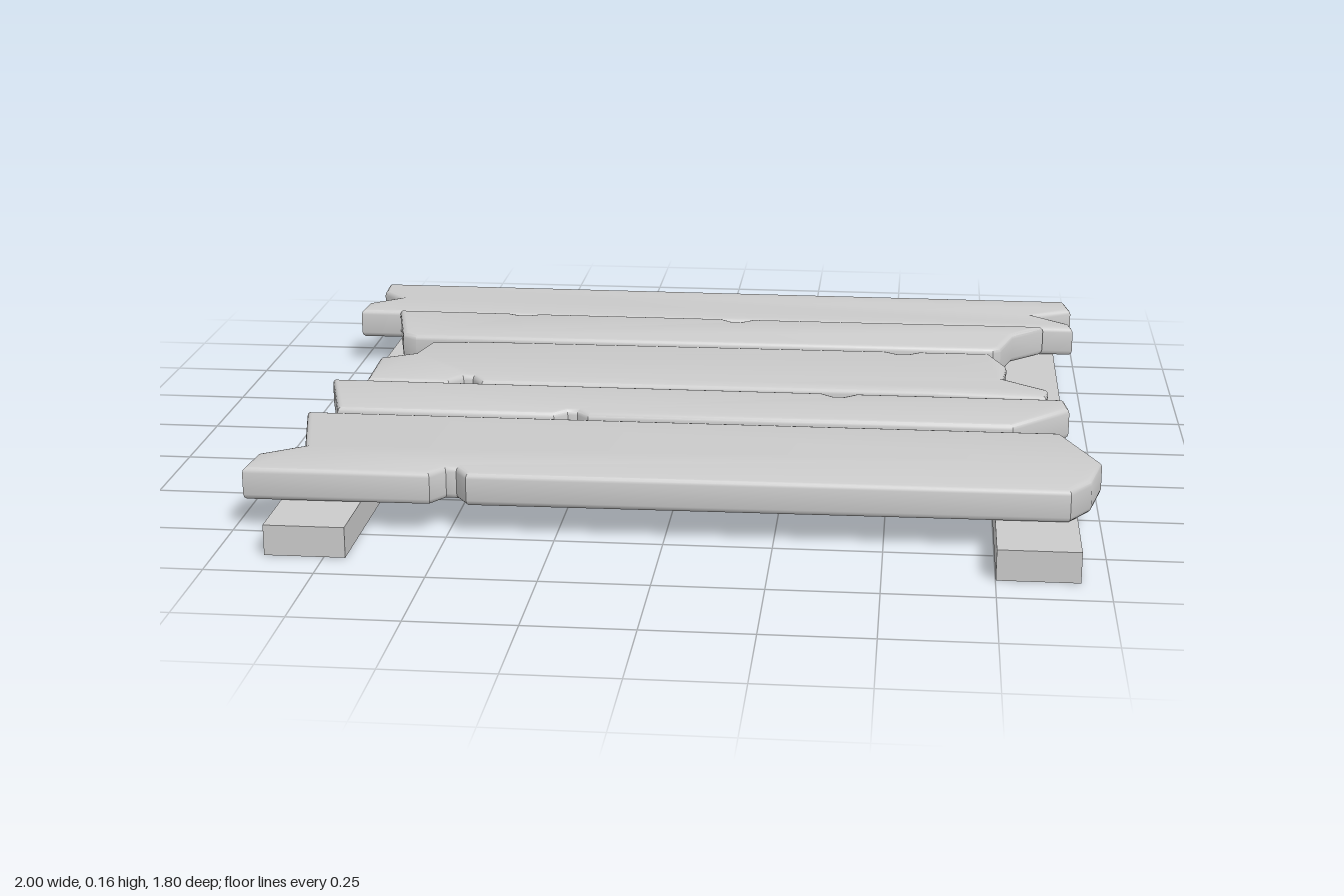
import * as THREE from 'three';
import { toCreasedNormals } from 'three/addons/utils/BufferGeometryUtils.js';

const BEVEL = 0.014;
const THICKNESS = 0.08;
const material = new THREE.MeshStandardMaterial({ color: 0xcccccc });

// Points of a straight edge from a to b, chipped inward at each [x, depth]
function chippedEdge(a, b, chips, inward) {
  const edgeZ = (x) => a[1] + ((b[1] - a[1]) * (x - a[0])) / (b[0] - a[0]);
  const points = [];
  for (const [x, depth] of chips) {
    for (const [dx, cut] of [[-0.042, 0], [-0.012, 1], [0.012, 1], [0.042, 0]]) {
      points.push([x + dx, edgeZ(x + dx) + inward * cut * depth]);
    }
  }
  return points;
}

// Plank with broken ends, each listed as [x, z] from back to front,
// extruded upward with softly rounded rims
function makePlank(name, bottom, leftEnd, rightEnd, backChips, frontChips) {
  const outline = [
    ...leftEnd,
    ...chippedEdge(leftEnd.at(-1), rightEnd.at(-1), frontChips, -1),
    ...[...rightEnd].reverse(),
    ...chippedEdge(leftEnd[0], rightEnd[0], backChips, 1).reverse(),
  ];
  const shape = new THREE.Shape(outline.map(([x, z]) => new THREE.Vector2(x, -z)));
  const geometry = new THREE.ExtrudeGeometry(shape, {
    depth: THICKNESS - 2 * BEVEL,
    bevelThickness: BEVEL,
    bevelSize: BEVEL,
    bevelOffset: -BEVEL,
    bevelSegments: 3,
  });
  geometry.rotateX(-Math.PI / 2);
  geometry.translate(0, bottom + BEVEL, 0);
  const mesh = new THREE.Mesh(toCreasedNormals(geometry, 0.6), material);
  mesh.name = name;
  return mesh;
}

// Square-cut support beam running front to back
function makeRail(name, x) {
  const mesh = new THREE.Mesh(new THREE.BoxGeometry(0.186, 0.072, 1.78), material);
  mesh.position.set(x, 0.036, 0.01);
  mesh.name = name;
  return mesh;
}

export function createModel() {
  const group = new THREE.Group();
  group.name = 'plankPlatform';

  group.add(makeRail('rightRail', -0.794), makeRail('leftRail', 0.844));

  // Rear plank, split at both ends
  group.add(makePlank('backPlank', 0.073,
    [[-0.98, -0.903], [-0.975, -0.82], [-0.915, -0.757], [-0.995, -0.69], [-0.998, -0.61]],
    [[0.975, -0.89], [0.99, -0.8], [0.885, -0.737], [0.98, -0.655], [0.987, -0.61]],
    [], []));

  // Narrow plank with a splintered corner
  group.add(makePlank('secondPlank', 0.079,
    [[-0.885, -0.602], [-0.83, -0.375], [-0.79, -0.35]],
    [[0.905, -0.597], [0.82, -0.51], [0.785, -0.385], [0.765, -0.367]],
    [[-0.53, 0.015], [0.065, 0.025]], []));

  // Short, wide middle plank
  group.add(makePlank('middlePlank', 0.073,
    [[-0.6, -0.335], [-0.74, -0.315], [-0.763, -0.21], [-0.847, -0.16], [-0.84, 0.032]],
    [[0.755, -0.347], [0.797, -0.235], [0.787, -0.122], [0.897, -0.035], [0.89, 0.025], [0.62, 0.008]],
    [[0.525, 0.022]], [[-0.585, 0.045]]));

  // Narrow plank with slanted ends
  group.add(makePlank('fourthPlank', 0.077,
    [[-0.922, 0.055], [-0.855, 0.293]],
    [[0.932, 0.055], [0.942, 0.13], [0.8, 0.277]],
    [[0.372, 0.025]], [[-0.275, 0.03]]));

  // Wide front plank
  group.add(makePlank('frontPlank', 0.073,
    [[-0.925, 0.315], [-0.868, 0.57], [-0.965, 0.64], [-0.972, 0.747]],
    [[0.912, 0.31], [0.998, 0.52], [0.968, 0.65], [0.918, 0.725]],
    [], [[-0.495, 0.045]]));

  return group;
}
